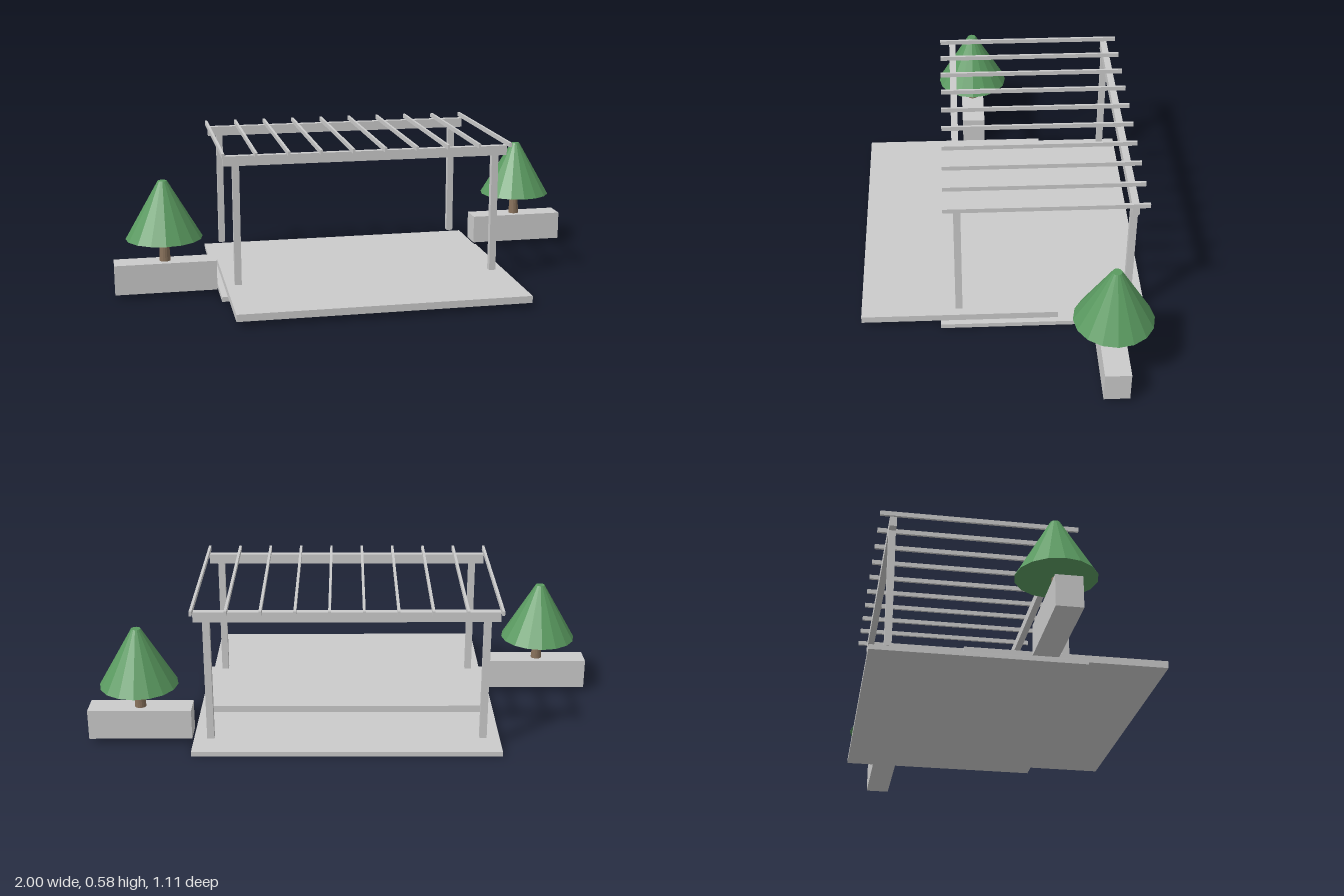
import * as THREE from 'three';

export function createModel() {
  const model = new THREE.Group();
  model.name = 'gardenPergola';

  const material = (name, color) => {
    const m = new THREE.MeshStandardMaterial({ color });
    m.name = name;
    return m;
  };
  const stone = material('paleGrey', 0xcacaca);
  const leaf = material('leafGreen', 0x5a9a60);
  const bark = material('barkBrown', 0x87705a);
  leaf.flatShading = true;
  bark.flatShading = true;

  // Box given by its lower and upper corners
  const box = (name, [x0, y0, z0], [x1, y1, z1], parent = model) => {
    const mesh = new THREE.Mesh(new THREE.BoxGeometry(x1 - x0, y1 - y0, z1 - z0), stone);
    mesh.position.set((x0 + x1) / 2, (y0 + y1) / 2, (z0 + z1) / 2);
    mesh.name = name;
    parent.add(mesh);
  };

  // Tapered round part standing on y0
  const taper = (name, mat, rTop, rBottom, y0, y1, sides, parent) => {
    const mesh = new THREE.Mesh(new THREE.CylinderGeometry(rTop, rBottom, y1 - y0, sides), mat);
    mesh.position.y = (y0 + y1) / 2;
    mesh.name = name;
    parent.add(mesh);
  };

  // Two overlapping floor slabs
  box('lowerSlab', [-0.593, 0, -0.555], [0.593, 0.019, 0.247]);
  box('upperSlab', [-0.57, 0.019, -0.209], [0.57, 0.047, 0.555]);

  // Front and back frames: a beam on two posts
  for (const [side, z] of [['front', 0.175], ['back', -0.482]]) {
    box(side + 'Beam', [-0.57, 0.526, z - 0.0135], [0.57, 0.565, z + 0.0135]);
    for (const x of [-0.522, 0.522]) {
      box(side + 'Post', [x - 0.0135, 0.047, z - 0.0135], [x + 0.0135, 0.526, z + 0.0135]);
    }
  }

  // Rafters across the beams
  for (let i = 0; i < 10; i++) {
    const x = -0.573 + (i * 1.146) / 9;
    box('rafter', [x - 0.005, 0.565, -0.533], [x + 0.005, 0.583, 0.227]);
  }

  // Planters, each with a tree
  for (const [side, x, z] of [['right', -0.8, 0.086], ['left', 0.8, -0.391]]) {
    const planter = new THREE.Group();
    planter.name = side + 'Planter';
    planter.position.set(x, 0, z);
    box('planterBlock', [-0.2, 0.017, -0.049], [0.2, 0.136, 0.049], planter);
    taper('trunk', bark, 0.016, 0.022, 0.136, 0.25, 16, planter);
    taper('crown', leaf, 0.018, 0.151, 0.23, 0.459, 16, planter);
    model.add(planter);
  }

  return model;
}
